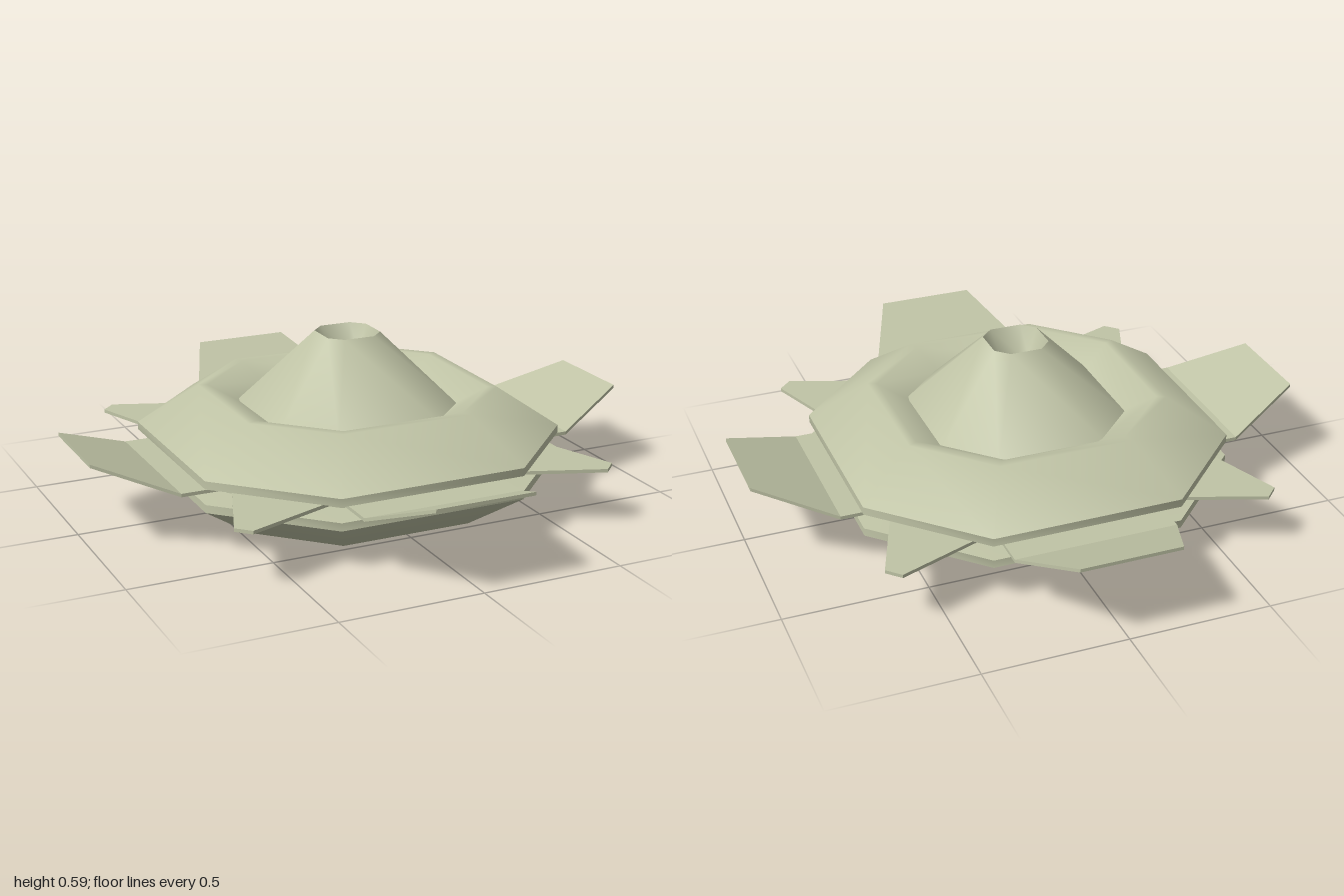
import * as THREE from 'three';
import { toCreasedNormals } from 'three/addons/utils/BufferGeometryUtils.js';

const material = new THREE.MeshStandardMaterial({ color: 0xc0c4a6, side: THREE.DoubleSide });

// Eight-sided loft: profile of [half width, y] from bottom to top; k is the half side / half width ratio
function octagonLoft(name, profile, k) {
  const corners = [[1, -k], [1, k], [k, 1], [-k, 1], [-1, k], [-1, -k], [-k, -1], [k, -1]];
  const positions = [];
  const point = ([r, y], i) => [corners[i % 8][0] * r, y, corners[i % 8][1] * r];
  for (let p = 0; p < profile.length - 1; p++) {
    const low = profile[p], high = profile[p + 1];
    for (let i = 0; i < 8; i++) {
      const a = point(low, i), b = point(low, i + 1), c = point(high, i + 1), d = point(high, i);
      if (high[0] > 0) positions.push(...a, ...d, ...c);
      if (low[0] > 0) positions.push(...a, ...c, ...b);
    }
  }
  const geometry = new THREE.BufferGeometry();
  geometry.setAttribute('position', new THREE.Float32BufferAttribute(positions, 3));
  const mesh = new THREE.Mesh(toCreasedNormals(geometry, THREE.MathUtils.degToRad(50)), material);
  mesh.name = name;
  return mesh;
}

// Thin plate along +z through stations of [distance, half width, mid height]
function fin(name, stations, thickness, angle) {
  const n = stations.length - 1;
  const box = new THREE.BoxGeometry(2, thickness, 1, 1, 1, n);
  const pos = box.attributes.position;
  for (let i = 0; i < pos.count; i++) {
    const [z, half, y] = stations[Math.round((pos.getZ(i) + 0.5) * n)];
    pos.setXYZ(i, pos.getX(i) * half, pos.getY(i) + y, z);
  }
  const mesh = new THREE.Mesh(toCreasedNormals(box, 0.2), material);
  mesh.name = name;
  mesh.rotation.y = angle;
  return mesh;
}

export function createModel() {
  const model = new THREE.Group();
  model.name = 'saucer';

  // Hull: lower dish, recessed waist, upper ring dipping toward the dome
  model.add(octagonLoft('hull', [
    [0, 0], [0.47, 0], [0.665, 0.14], [0.665, 0.168], [0.57, 0.178],
    [0.57, 0.212], [0.665, 0.222], [0.665, 0.25], [0.47, 0.39], [0.44, 0.39], [0.34, 0.33],
  ], 0.5));

  // Central cone with a sunken opening
  model.add(octagonLoft('cone', [
    [0.34, 0.33], [0.1, 0.59], [0.06, 0.5], [0, 0.5],
  ], 0.56));

  // Four upswept wings and four flat diagonal fins
  for (let i = 0; i < 4; i++) {
    const angle = i * Math.PI / 2;
    model.add(fin('wing', [[0.5, 0.285, 0.195], [0.73, 0.285, 0.195], [1, 0.175, 0.302]], 0.012, angle));
    model.add(fin('diagonalFin', [[0.58, 0.197, 0.2], [0.944, 0.032, 0.2]], 0.012, angle + Math.PI / 4));
  }
  return model;
}
